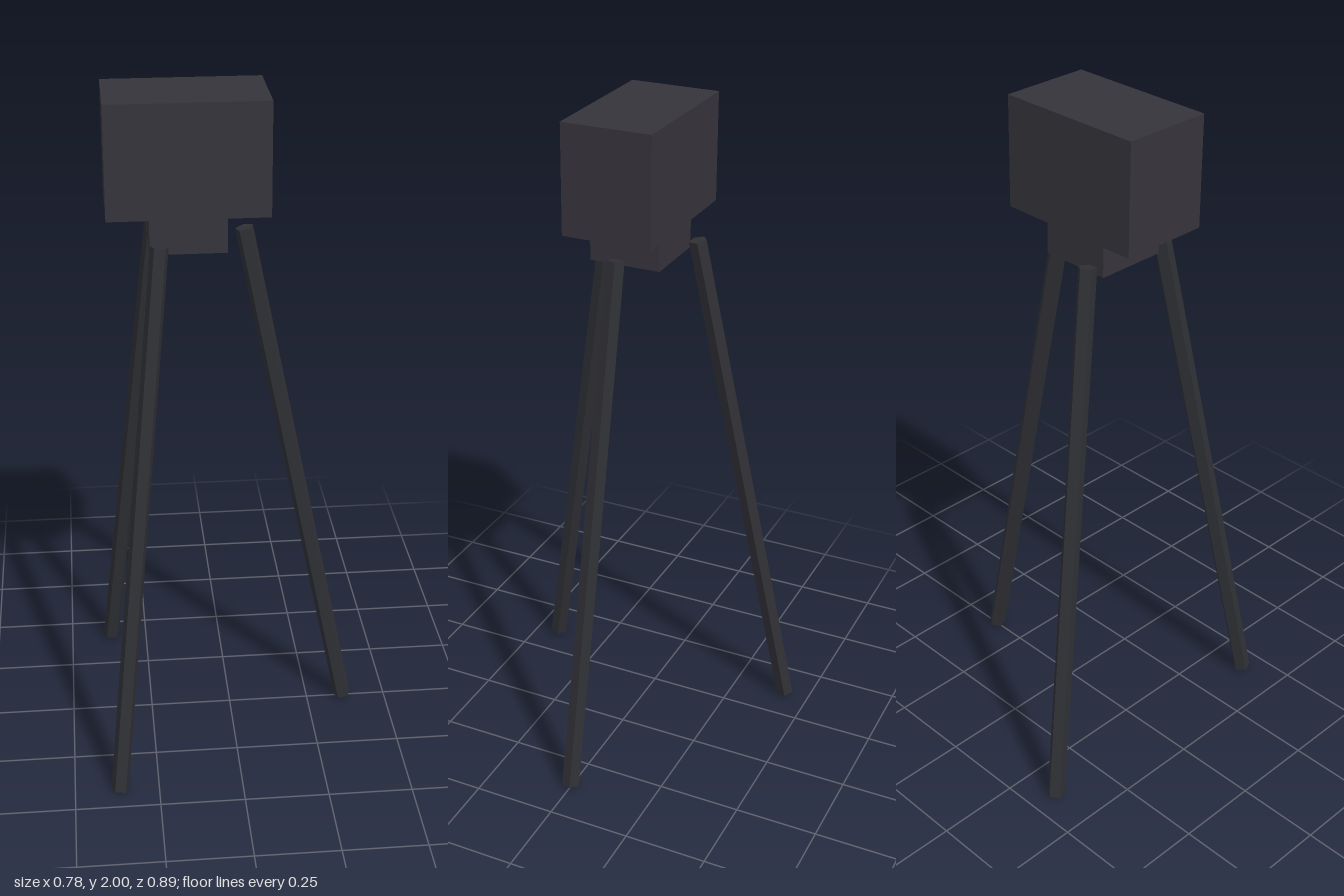
import * as THREE from 'three';

export function createModel() {
  const model = new THREE.Group();
  model.name = 'tripodDevice';
  const housing = new THREE.MeshStandardMaterial({ color: 0x36343b, flatShading: true });
  housing.name = 'charcoal housing';
  const metal = new THREE.MeshStandardMaterial({ color: 0x2f3035, flatShading: true });
  metal.name = 'dark leg metal';

  const cx = -0.123, cz = 0.002; // vertical axis of the tripod

  const addBox = (name, w, h, d, y) => {
    const mesh = new THREE.Mesh(new THREE.BoxGeometry(w, h, d), housing);
    mesh.name = name;
    mesh.position.set(cx, y, cz);
    model.add(mesh);
  };
  // Main box and the smaller mount below it
  addBox('body', 0.452, 0.322, 0.27, 1.839);
  addBox('mount', 0.215, 0.11, 0.215, 1.625);

  // Three splayed five-sided legs, each with an edge towards the back
  const up = new THREE.Vector3(0, 1, 0);
  const legs = ['leftLeg', 'frontLeg', 'backLeg'];
  legs.forEach((name, i) => {
    const a = (i * Math.PI * 2) / 3;
    const at = (r, y) => new THREE.Vector3(cx + r * Math.cos(a), y, cz + r * Math.sin(a));
    const top = at(0.164, 1.605), foot = at(0.488, 0.005);
    const axis = top.clone().sub(foot);
    const geometry = new THREE.CylinderGeometry(0.027, 0.027, axis.length(), 5).rotateY(Math.PI);
    const leg = new THREE.Mesh(geometry, metal);
    leg.name = name;
    leg.position.copy(top).add(foot).multiplyScalar(0.5);
    leg.quaternion.setFromUnitVectors(up, axis.normalize());
    model.add(leg);
  });
  return model;
}
